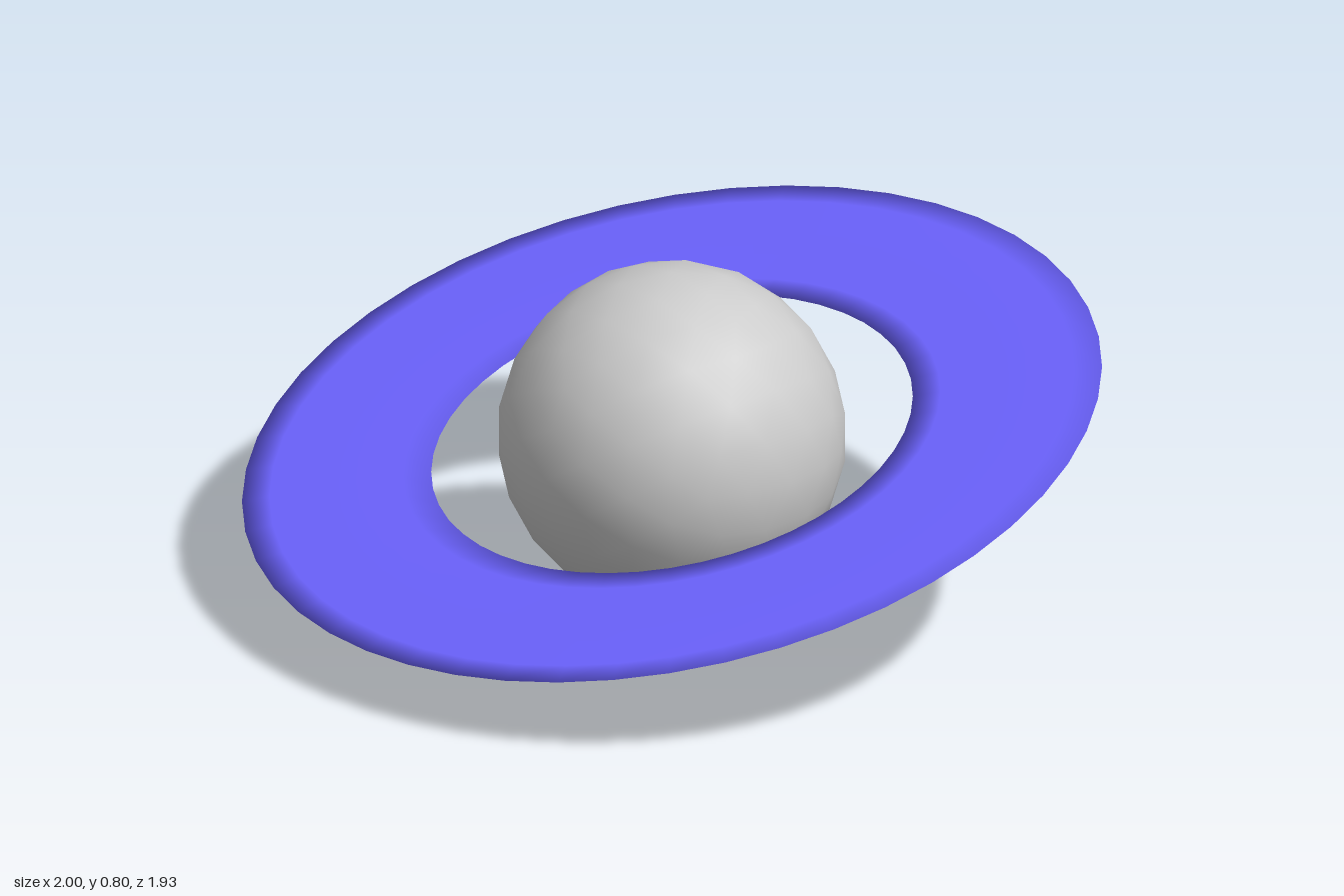
import * as THREE from 'three';

export function createModel() {
  const model = new THREE.Group();

  // Faceted ball with smooth normals
  const planet = new THREE.Mesh(
    new THREE.IcosahedronGeometry(0.4, 3),
    new THREE.MeshStandardMaterial({ color: 0xcccccc })
  );
  planet.name = 'planet';
  planet.position.y = 0.4;
  model.add(planet);

  // Torus flattened to a thin disc, tilted down towards the front
  const ring = new THREE.Mesh(
    new THREE.TorusGeometry(0.78, 0.22, 8, 48),
    new THREE.MeshStandardMaterial({ color: 0x6c63ff })
  );
  ring.name = 'ring';
  ring.scale.z = 0.012;
  ring.rotation.x = Math.PI / 2 + THREE.MathUtils.degToRad(15);
  ring.position.y = 0.4;
  model.add(ring);

  return model;
}
